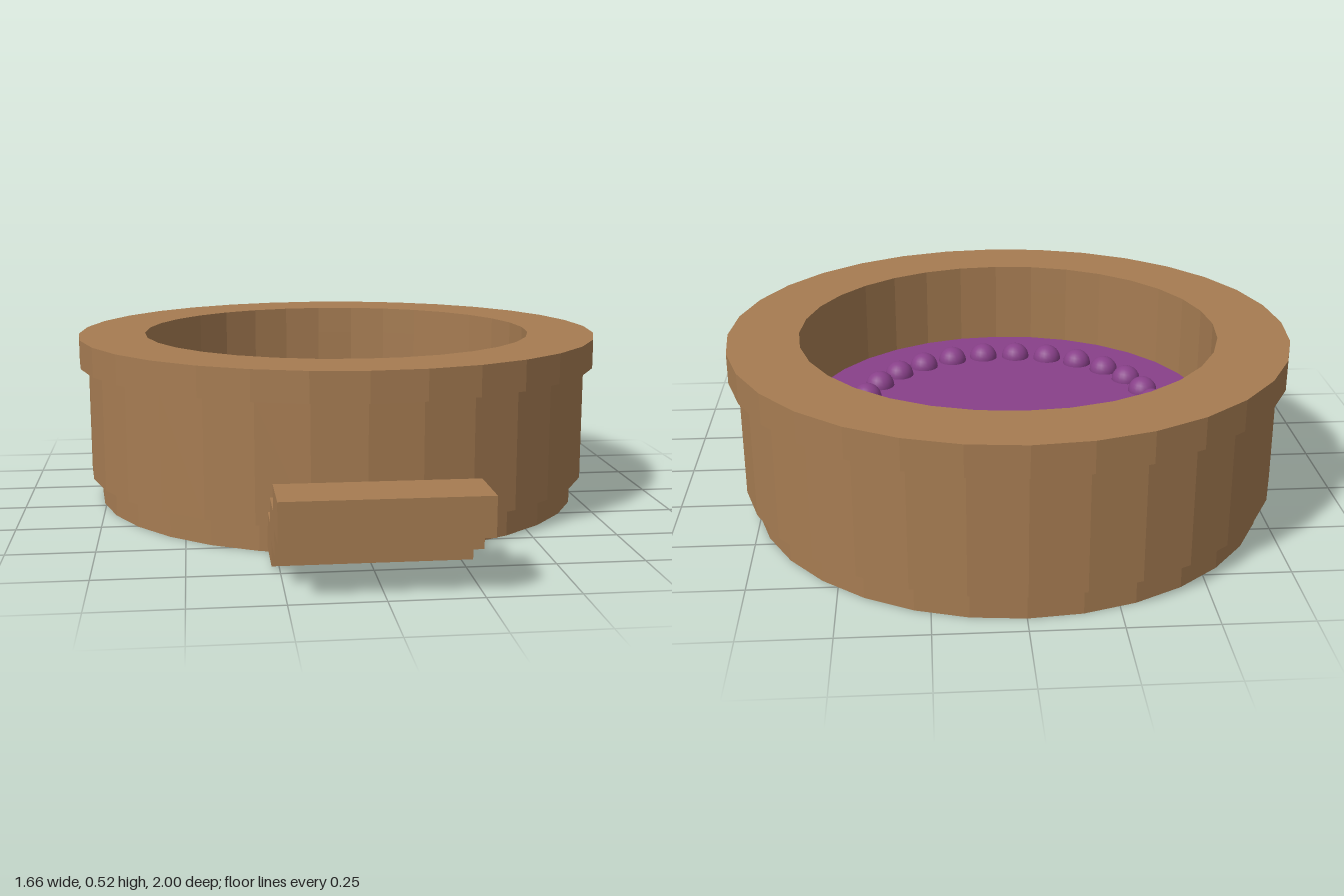
import * as THREE from 'three';

const CENTER_Z = -0.17;
const SIDES = 32;
const INNER = 0.62;
const FLOOR_Y = 0.27;

export function createModel() {
  const wood = new THREE.MeshStandardMaterial({ color: 0xa67c52, flatShading: true });
  wood.name = 'wood brown';
  const purple = new THREE.MeshStandardMaterial({ color: 0x884089 });
  purple.name = 'purple';

  const model = new THREE.Group();
  model.name = 'roundBasin';
  const basin = new THREE.Group();
  basin.name = 'basin';
  basin.position.z = CENTER_Z;
  model.add(basin);

  const add = (parent, name, geometry, material, x = 0, y = 0, z = 0) => {
    const mesh = new THREE.Mesh(geometry, material);
    mesh.name = name;
    mesh.position.set(x, y, z);
    parent.add(mesh);
    return mesh;
  };

  // Hollow ring with a rectangular section, profile run up the outside and down the inside
  const ring = (outer, y0, y1) => new THREE.LatheGeometry([
    [INNER, y0], [outer, y0], [outer, y1], [INNER, y1], [INNER, y0],
  ].map(([r, y]) => new THREE.Vector2(r, y)), SIDES);

  // Foot, wall and overhanging rim
  add(basin, 'foot', new THREE.CylinderGeometry(0.77, 0.77, 0.083, SIDES), wood, 0, 0.0415, 0);
  add(basin, 'wall', ring(0.802, 0.083, 0.435), wood);
  add(basin, 'rim', ring(0.83, 0.435, 0.525), wood);

  // Sunken floor
  const floor = new THREE.CircleGeometry(INNER, SIDES).rotateX(-Math.PI / 2);
  add(basin, 'floor', floor, purple, 0, FLOOR_Y, 0);

  // Ring of half-sunk beads
  const beads = new THREE.Group();
  beads.name = 'beads';
  basin.add(beads);
  const beadGeometry = new THREE.SphereGeometry(0.045, 20, 14);
  const count = 26;
  for (let i = 0; i < count; i++) {
    const a = (i / count) * Math.PI * 2;
    add(beads, 'bead', beadGeometry, purple, 0.445 * Math.cos(a), FLOOR_Y, 0.432 * Math.sin(a));
  }

  // Three overlapping steps rising away from the wall
  const steps = new THREE.Group();
  steps.name = 'steps';
  model.add(steps);
  const stepGeometry = new THREE.BoxGeometry(0.546, 0.108, 0.178);
  for (let i = 0; i < 3; i++) {
    add(steps, 'step', stepGeometry, wood, 0, 0.069 + i * 0.07, 0.643 + i * 0.134);
  }
  return model;
}
